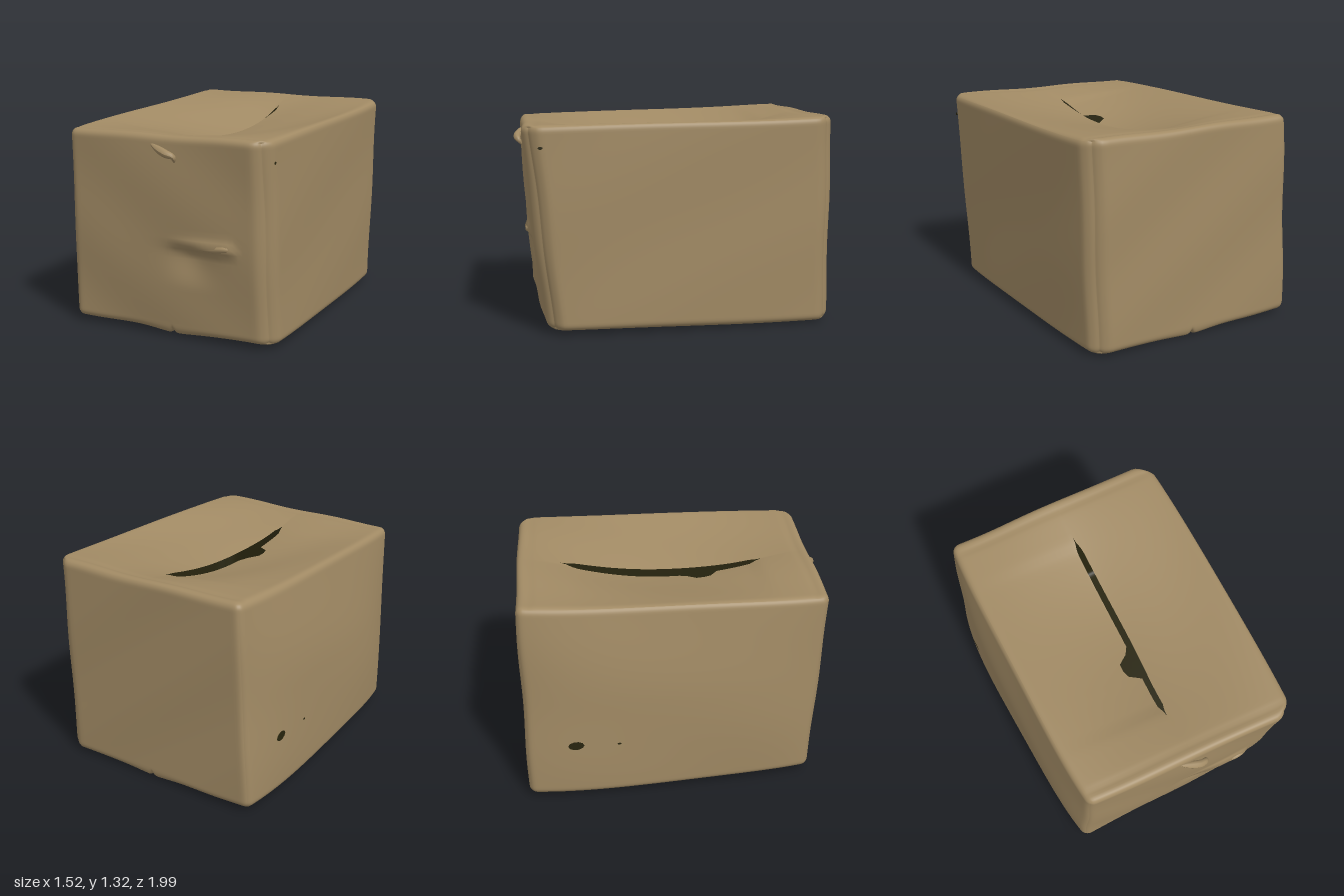
import * as THREE from 'three';
import { mergeGeometries, mergeVertices } from 'three/addons/utils/BufferGeometryUtils.js';

const N = 60; // grid cells across one whole face
const HALF = [0.7, 0.64, 0.93], RADIUS = 0.045;
const gauss = (d, w) => Math.exp(-(d * d) / (w * w));
const smooth = THREE.MathUtils.smoothstep;

// Slightly skewed corners: [x, y, z] for bottom/top, back/front, right/left
const CORNERS = [
  [[[-0.695, 0.02, -1.0], [0.725, 0.01, -0.945]], [[-0.69, 0.035, 0.82], [0.69, 0.03, 0.85]]],
  [[[-0.63, 1.32, -1.0], [0.76, 1.315, -0.935]], [[-0.655, 1.265, 0.89], [0.695, 1.28, 0.99]]],
];

// Where the two closing flaps meet, in unit-box x
const seam = (uz) => 0.03 - 0.04 * gauss(uz - 0.6, 0.35);

// 1 along the open stretch of the top slit, 0 where the flaps touch
const slitRange = (uz) => smooth(uz, -0.7, -0.6) * (1 - smooth(uz, 0.58, 0.66));

// Half-opening of the top slit, wider at a torn notch on one flap
function topOpening(uz, side) {
  const notch = side < 0 ? 0.13 * smooth(uz, 0.13, 0.2) * (1 - smooth(uz, 0.29, 0.36)) : 0;
  return 0.024 * slitRange(uz) + notch;
}

// Half-opening of the narrow bottom slit
const bottomOpening = (uz) => 0.006 * smooth(uz, -0.3, -0.1) * (1 - smooth(uz, 0.3, 0.5));

// Unit-box point -> rounded, skewed and dented cardboard surface
function surface(ux, uy, uz, side = 0) {
  const p = [ux, uy, uz].map((u, i) => u * HALF[i]);
  const inner = p.map((c, i) => THREE.MathUtils.clamp(c, RADIUS - HALF[i], HALF[i] - RADIUS));
  const d = p.map((c, i) => c - inner[i]);
  const len = Math.hypot(...d) || 1;
  const t = inner.map((c, i) => ((c + (d[i] * RADIUS) / len) / HALF[i] + 1) / 2);
  const q = [0, 0, 0];
  for (let j = 0; j < 2; j++) for (let k = 0; k < 2; k++) for (let i = 0; i < 2; i++) {
    const w = (i ? t[0] : 1 - t[0]) * (j ? t[1] : 1 - t[1]) * (k ? t[2] : 1 - t[2]);
    CORNERS[j][k][i].forEach((c, a) => { q[a] += w * c; });
  }
  let [x, y, z] = q;
  // side walls bulge between their ends
  const middle = 1 - uz ** 4, belly = Math.cos((uy * Math.PI) / 2);
  x -= Math.max(0, -ux) * middle * (0.025 + 0.045 * belly + 0.02 * smooth(-uy, 0, 1));
  x += Math.max(0, ux) * middle * 0.02;
  // blunted upright corners on one side
  const blunt = 0.03 * smooth(ux, 0.84, 1) * smooth(Math.abs(uz), 0.88, 1);
  x -= blunt;
  z -= blunt * Math.sign(uz);
  // uneven board
  x += 0.003 * Math.sin(7 * y + 3 * z);
  y += 0.003 * Math.sin(9 * x + 4 * z);
  z += 0.004 * Math.sin(6 * x + 8 * y);
  if (uy > 0.999) { // sagging top flaps and fold lines
    const drop = 0.14 + (side < 0 ? 0.03 * slitRange(uz) : 0);
    y -= drop * (1 - Math.abs(ux)) * (1 - uz * uz) ** 1.5;
    const ends = (1 - uz ** 12) * (1 - ux ** 12);
    y -= 0.01 * (gauss(uz + 0.92, 0.02) + gauss(uz - 0.92, 0.02)) * ends;
  }
  // pushed-out bottom with a shallow groove between its flaps
  const low = smooth(-uy, 0.9, 1);
  y += low * (0.022 * gauss(ux - seam(uz), 0.02) - 0.018 * gauss(ux, 0.25));
  if (uz > 0.999) { // pressed ridge and dent on the front
    z += 0.022 * belly * (1 - ux * ux);
    const along = smooth(x, -0.02, 0.3) * (1 - smooth(x, 0.44, 0.5));
    z += 0.03 * along * gauss(y - 0.615 - 0.03 * (x - 0.25), 0.03);
    z -= 0.035 * gauss(x - 0.17, 0.14) * smooth(y, 0.33, 0.55) * (1 - smooth(y, 0.56, 0.62));
  }
  return [x, y, z];
}

// Grid patch over t, s in 0..1, denser towards its borders
function patch(nu, nv, flip, fn) {
  const pos = [], index = [];
  const ease = (t) => (1 - Math.cos(Math.PI * t)) / 2;
  for (let j = 0; j <= nv; j++) for (let i = 0; i <= nu; i++) pos.push(...fn(ease(i / nu), ease(j / nv)));
  for (let j = 0; j < nv; j++) for (let i = 0; i < nu; i++) {
    const a = j * (nu + 1) + i, b = a + 1, c = a + nu + 1, e = c + 1;
    if (flip) index.push(a, c, b, b, c, e);
    else index.push(a, b, c, b, e, c);
  }
  const g = new THREE.BufferGeometry();
  g.setAttribute('position', new THREE.Float32BufferAttribute(pos, 3));
  g.setIndex(index);
  return g;
}

function boxShell() {
  const parts = [];
  const un = (t) => 2 * t - 1;
  for (const s of [-1, 1]) {
    // left and right walls
    parts.push(patch(N, N, s < 0, (a, b) => surface(s, un(a), un(b))));
    // front, back, top and bottom, each in two halves meeting at the seam
    for (const side of [-1, 1]) {
      const across = (t, uz, gap) => {
        const edge = seam(uz) + side * gap;
        return side < 0 ? -1 + (edge + 1) * t : edge + (1 - edge) * t;
      };
      parts.push(patch(N / 2, N, s < 0, (a, b) => surface(across(a, s, 0), un(b), s, side)));
      parts.push(patch(N / 2, N, s > 0, (a, b) => {
        const uz = un(b);
        return surface(across(a, uz, s > 0 ? topOpening(uz, side) : bottomOpening(uz)), s, uz, side);
      }));
    }
  }
  const g = mergeVertices(mergeGeometries(parts), 1e-4);
  g.computeVertexNormals();
  return g;
}

// Same shell turned to face inwards
function inwards(geometry) {
  const g = geometry.clone();
  const idx = g.index.array;
  for (let i = 0; i < idx.length; i += 3) [idx[i], idx[i + 1]] = [idx[i + 1], idx[i]];
  g.computeVertexNormals();
  return g;
}

// Curled strip that tapers at both ends
function curl(points, radius) {
  const curve = new THREE.CatmullRomCurve3(points.map((p) => new THREE.Vector3(...p)));
  const g = new THREE.TubeGeometry(curve, 20, radius, 10);
  const pos = g.attributes.position, v = new THREE.Vector3();
  for (let i = 0; i < pos.count; i++) {
    const t = Math.floor(i / 11) / 20, c = curve.getPointAt(t);
    v.fromBufferAttribute(pos, i).sub(c).multiplyScalar(Math.sin(Math.PI * t) ** 0.7).add(c);
    pos.setXYZ(i, v.x, v.y, v.z);
  }
  g.computeVertexNormals();
  return g;
}

export function createModel() {
  const cardboard = new THREE.MeshStandardMaterial({ color: 0xa18a64 });
  cardboard.name = 'cardboard';
  const darkInside = new THREE.MeshStandardMaterial({ color: 0x28250f });
  darkInside.name = 'dark inside';

  const model = new THREE.Group();
  model.name = 'cardboardBox';
  const add = (name, geometry, material) => {
    const mesh = new THREE.Mesh(geometry, material);
    mesh.name = name;
    model.add(mesh);
    return mesh;
  };

  const shell = boxShell();
  add('boxShell', shell, cardboard);
  add('boxInside', inwards(shell), darkInside);

  // torn paper on the front
  add('tornCurl', curl([[-0.07, 1.215, 0.925], [0, 1.185, 0.95], [0.06, 1.165, 0.967], [0.1, 1.15, 0.962], [0.095, 1.11, 0.935]], 0.024), cardboard);
  add('ridgeFold', curl([[0.2, 0.605, 0.905], [0.34, 0.615, 0.925], [0.43, 0.625, 0.935], [0.485, 0.615, 0.915]], 0.022), cardboard);

  // small punctures in the side walls: unit-box position and radius
  for (const [ux, uy, uz, r] of [[-1, -0.42, -0.66, 0.05], [-1, -0.42, -0.37, 0.012], [1, 0.79, 0.9, 0.015]]) {
    const hole = add('puncture', new THREE.CircleGeometry(r, 10), darkInside);
    const [x, y, z] = surface(ux, uy, uz);
    hole.position.set(x + ux * 0.008, y, z);
    hole.rotation.y = (ux * Math.PI) / 2;
    hole.scale.y = 0.6;
  }
  return model;
}
